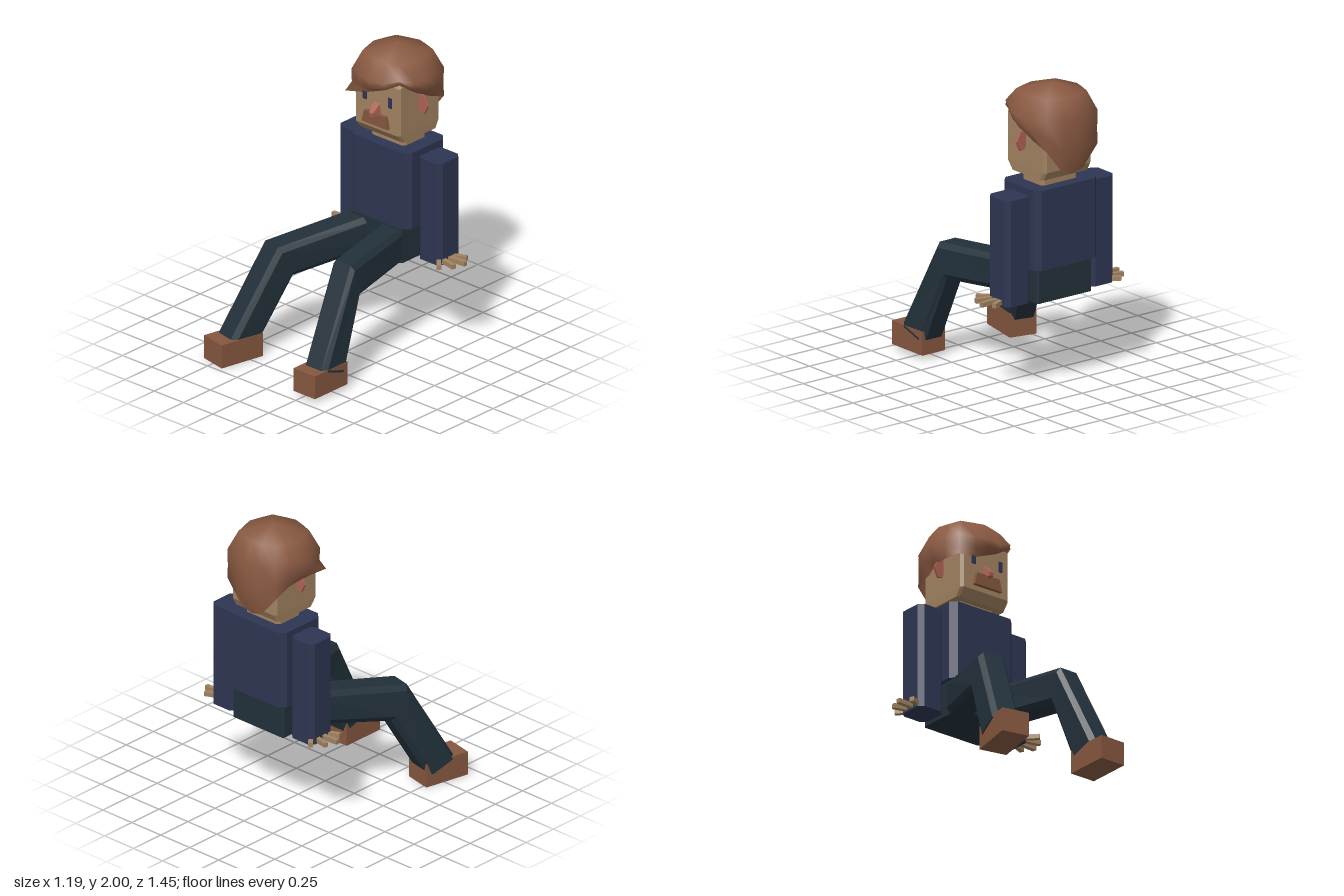
import * as THREE from 'three';
import { ConvexGeometry } from 'three/addons/geometries/ConvexGeometry.js';

const V = (x, y, z) => new THREE.Vector3(x, y, z);
const mat = (name, color, extra = {}) => {
  const m = new THREE.MeshStandardMaterial({ color, ...extra });
  m.name = name;
  return m;
};

// Chamfered rectangle around centre c, spanned by half-axes w and h
function section(c, w, h, cw = 0.3, ch = cw) {
  const a = 1 - cw, b = 1 - ch;
  return [[1, -b], [1, b], [a, 1], [-a, 1], [-1, b], [-1, -b], [-a, -1], [a, -1]]
    .map(([u, v]) => c.clone().addScaledVector(w, u).addScaledVector(h, v));
}

// Closed faceted solid through a list of sections
function loft(sections) {
  const pts = [];
  const n = sections[0].length;
  for (let s = 0; s < sections.length - 1; s++) {
    const A = sections[s], B = sections[s + 1];
    for (let i = 0; i < n; i++) {
      const j = (i + 1) % n;
      pts.push(A[i], A[j], B[j], A[i], B[j], B[i]);
    }
  }
  const first = sections[0], last = sections[sections.length - 1];
  for (let i = 1; i < n - 1; i++) {
    pts.push(first[0], first[i + 1], first[i], last[0], last[i], last[i + 1]);
  }
  const g = new THREE.BufferGeometry().setFromPoints(pts);
  g.computeVertexNormals();
  return g;
}

// Horizontal chamfered section between the given limits
function level(y, x0, x1, z0, z1, c) {
  const w = (z1 - z0) / 2, h = (x1 - x0) / 2;
  return section(V((x0 + x1) / 2, y, (z0 + z1) / 2), V(0, 0, w), V(h, 0, 0), c / w, c / h);
}
const post = (x0, x1, y0, y1, z0, z1, c) =>
  loft([level(y0, x0, x1, z0, z1, c), level(y1, x0, x1, z0, z1, c)]);

function outline(points, depth) {
  const shape = new THREE.Shape(points.map(([x, y]) => new THREE.Vector2(x, y)));
  return new THREE.ExtrudeGeometry(shape, { depth, bevelEnabled: false });
}

// Smooth cap of hair with eight-sided rings and an uneven lower edge
function hairGeometry() {
  const edge = [1.73, 1.765, 1.835, 1.75, 1.70, 1.66, 1.62, 1.47,
    1.44, 1.46, 1.6, 1.65, 1.68, 1.68, 1.67, 1.695];
  const n = edge.length, cx = 0.015, cz = -0.46;
  const pos = [cx, 2.0, cz], idx = [];
  for (let ring = 0; ring < 4; ring++) {
    for (let i = 0; i < n; i++) {
      const a = (i / n) * Math.PI * 2, sx = Math.sin(a), sz = Math.cos(a);
      const corner = i % 4 === 2 ? 1.09 : i % 2 ? 0.975 : 1;
      const y2 = Math.max(1.82, edge[i] + 0.03);
      let r = [0.205, 0.268, 0.265, 0][ring] * corner;
      const y = [1.945, y2, edge[i] + 0.42 * (y2 - edge[i]), edge[i]][ring];
      if (ring === 3) {
        // lower edge hugs the squarish head, flaring at the right temple
        r = 0.207 / Math.max(Math.abs(sx), Math.abs(sz));
        if (i >= 12 && i <= 14) r *= 1.13;
      }
      pos.push(cx + sx * r, y, cz + sz * r);
    }
  }
  for (let i = 0; i < n; i++) {
    const j = (i + 1) % n;
    idx.push(0, 1 + i, 1 + j);
    for (let ring = 0; ring < 3; ring++) {
      const a = 1 + ring * n, b = a + n;
      idx.push(a + i, b + i, b + j, a + i, b + j, a + j);
    }
  }
  const g = new THREE.BufferGeometry();
  g.setAttribute('position', new THREE.Float32BufferAttribute(pos, 3));
  g.setIndex(idx);
  g.computeVertexNormals();
  return g;
}

export function createModel() {
  const model = new THREE.Group();
  model.name = 'seatedFigure';
  const skin = mat('skin', 0xa18260);
  const shirt = mat('navy', 0x2d3552);
  const trousers = mat('darkTrousers', 0x22303a);
  const brown = mat('brown', 0x85573f);
  const hairMat = mat('hairBrown', 0x8a5a42, { side: THREE.DoubleSide });
  const red = mat('blush', 0xad6255);
  const add = (name, geometry, material, x = 0, y = 0, z = 0) => {
    const m = new THREE.Mesh(geometry, material);
    m.name = name;
    m.position.set(x, y, z);
    model.add(m);
    return m;
  };

  // Body
  add('torso', post(-0.23, 0.275, 0.83, 1.36, -0.64, -0.27, 0.04), shirt);
  add('pelvis', post(-0.2, 0.24, 0.6, 0.835, -0.6, -0.25, 0.01), trousers);
  add('rightArm', post(-0.415, -0.22, 0.61, 1.32, -0.57, -0.365, 0.03), shirt);
  add('leftArm', post(0.265, 0.46, 0.61, 1.315, -0.57, -0.365, 0.03), shirt);

  // Fingers fanning out from each sleeve: start and tip as x, z
  const fingers = {
    left: [[0.44, -0.49, 0.54, -0.535], [0.44, -0.458, 0.59, -0.467],
      [0.44, -0.41, 0.567, -0.384], [0.42, -0.4, 0.505, -0.31]],
    right: [[-0.37, -0.53, -0.435, -0.6], [-0.39, -0.505, -0.505, -0.532],
      [-0.39, -0.457, -0.53, -0.451], [-0.39, -0.415, -0.48, -0.374]],
  };
  for (const [side, list] of Object.entries(fingers)) {
    for (const [x0, z0, x1, z1] of list) {
      const length = Math.hypot(x1 - x0, z1 - z0);
      const f = add(side + 'Finger', new THREE.BoxGeometry(0.03, 0.03, length), skin,
        (x0 + x1) / 2, 0.635, (z0 + z1) / 2);
      f.rotation.y = Math.atan2(x1 - x0, z1 - z0);
    }
  }

  // Legs: hip, knee and ankle sections
  add('leftLeg', loft([
    section(V(0.135, 0.715, -0.32), V(0.095, 0, 0), V(0, 0.115, 0)),
    section(V(0.245, 0.685, 0.265), V(0.09, 0, 0), V(0, 0.115, 0.035)),
    section(V(0.281, 0.15, 0.51), V(0.092, 0, 0), V(0, 0.035, 0.108)),
  ]), trousers);
  add('rightLeg', loft([
    section(V(-0.13, 0.715, -0.32), V(0.095, 0, 0.02), V(0, 0.115, 0)),
    section(V(-0.358, 0.622, 0.24), V(0.093, 0, 0.02), V(-0.01, 0.112, 0.06)),
    section(V(-0.47, 0.115, 0.505), V(0.092, 0, 0.02), V(-0.02, 0.04, 0.1)),
  ]), trousers);

  // Shoes
  add('leftShoe', new THREE.BoxGeometry(0.184, 0.158, 0.305), brown, 0.28, 0.109, 0.55);
  const shoe = add('rightShoe', new THREE.BoxGeometry(0.19, 0.16, 0.32), brown, -0.469, 0.08, 0.543);
  shoe.rotation.y = -0.21;

  // Head and neck
  add('neck', post(-0.12, 0.17, 1.34, 1.44, -0.56, -0.35, 0.02), skin);
  add('head', loft([
    level(1.415, -0.168, 0.213, -0.61, -0.3, 0.015),
    level(1.47, -0.17, 0.215, -0.64, -0.255, 0.018),
    level(1.8, -0.17, 0.215, -0.64, -0.255, 0.018),
    level(1.87, -0.1, 0.14, -0.57, -0.33, 0.018),
  ]), skin);
  add('hair', hairGeometry(), hairMat);

  // Face
  for (const [name, x] of [['rightEye', -0.075], ['leftEye', 0.14]]) {
    add(name, new THREE.BoxGeometry(0.03, 0.07, 0.008), shirt, x, 1.685, -0.253);
  }
  add('moustache', outline([[-0.083, 1.503], [0.137, 1.503], [0.117, 1.585], [-0.063, 1.585]], 0.03),
    brown, 0, 0, -0.26);
  add('nose', new ConvexGeometry([
    V(0, 1.655, -0.257), V(0.054, 1.655, -0.257), V(-0.002, 1.568, -0.257), V(0.056, 1.568, -0.257),
    V(0.012, 1.6, -0.197), V(0.042, 1.6, -0.197), V(0.014, 1.575, -0.2), V(0.04, 1.575, -0.2),
  ]), red);

  // Ears stand straight out from the head
  const ear = [[-0.01, 0.07], [0.04, 0.07], [0.075, 0.005], [0.045, -0.058], [0.01, -0.05], [-0.01, 0]];
  add('leftEar', outline(ear, 0.015), red, 0.215, 1.64, -0.453);
  add('rightEar', outline(ear.map(([x, y]) => [-x, y]), 0.015), red, -0.168, 1.64, -0.453);

  return model;
}
